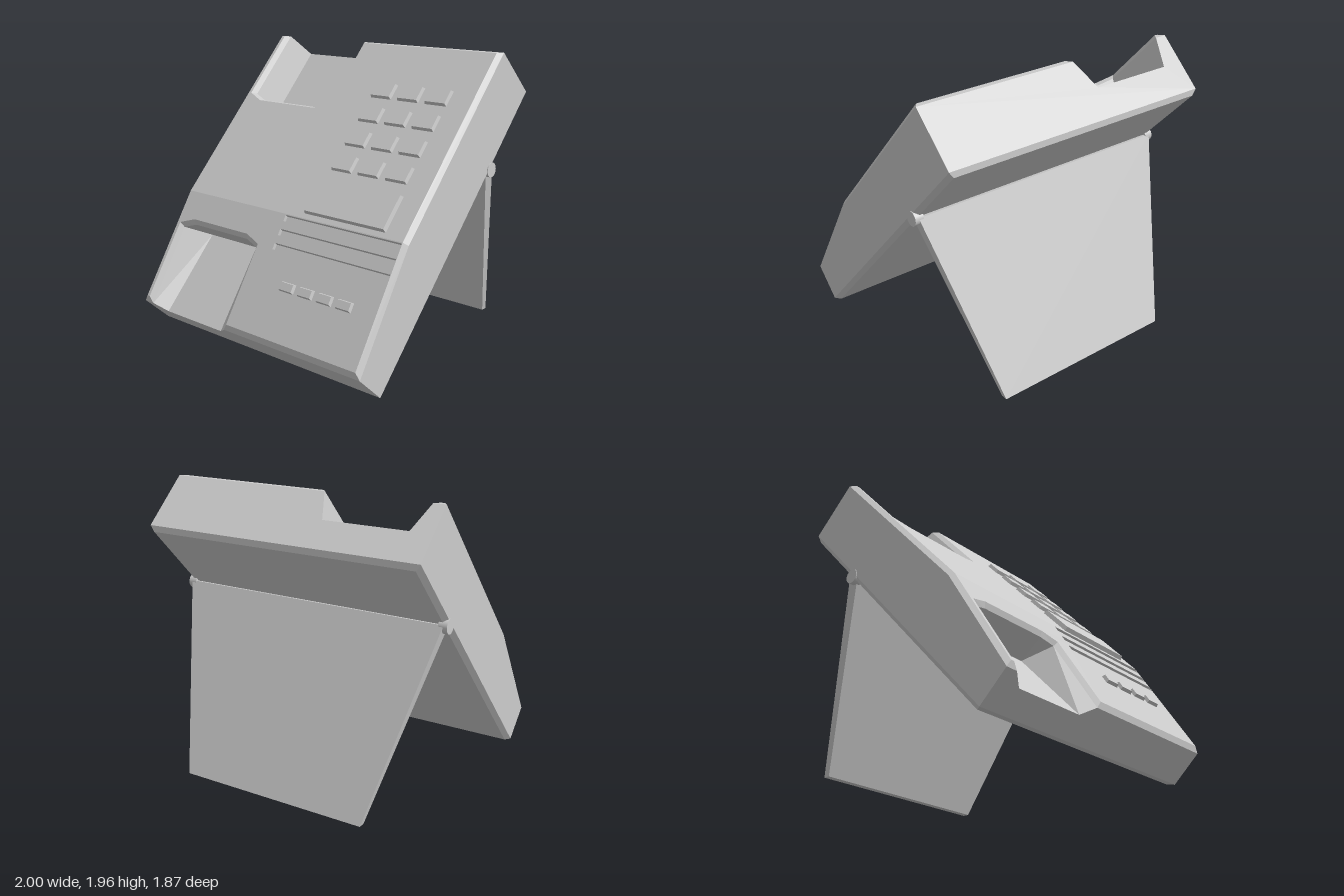
import * as THREE from 'three';

const grey = () => new THREE.MeshStandardMaterial({ color: 0xcccccc, flatShading: true });

// Body frame: x across, u up along the back, n out of the back towards the deck
const W = 0.995, TOP = 2.29, BEND = 0.83, B = 0.03;
const TILT = -0.748;
const deck = (u) => Math.min(0.45, 0.294 + 0.1875 * u);
const V = (x, u, n) => new THREE.Vector3(x, u, n);
const CENTRE = V(0, 1.15, 0.18);

// Collects flat triangles, each turned to face a given direction
class Skin {
  constructor() { this.pos = []; }
  tri(a, b, c, dir) {
    const nrm = b.clone().sub(a).cross(c.clone().sub(a));
    if (nrm.length() < 1e-8) return;
    const d = dir || a.clone().add(b).add(c).divideScalar(3).sub(CENTRE);
    for (const p of nrm.dot(d) > 0 ? [a, b, c] : [a, c, b]) this.pos.push(p.x, p.y, p.z);
  }
  quad(a, b, c, d, dir) {
    this.tri(a, b, c, dir);
    this.tri(a, c, d, dir);
  }
  polygon(pts, map, dir, holes = []) {
    const v2 = (l) => l.map(([x, y]) => new THREE.Vector2(x, y));
    const all = [...pts, ...holes.flat()].map(([x, y]) => map(x, y));
    for (const [a, b, c] of THREE.ShapeUtils.triangulateShape(v2(pts), holes.map(v2))) {
      this.tri(all[a], all[b], all[c], dir);
    }
  }
  // Walls between successive rings, facing a point inside the hollow
  walls(rings, inside, closed) {
    for (let r = 0; r + 1 < rings.length; r++) {
      const p = rings[r], q = rings[r + 1], n = p.length;
      for (let i = 0; i < (closed ? n : n - 1); i++) {
        const j = (i + 1) % n;
        const mid = p[i].clone().add(p[j]).add(q[i]).add(q[j]).divideScalar(4);
        this.quad(p[i], p[j], q[j], q[i], inside.clone().sub(mid));
      }
    }
  }
  geometry() {
    const g = new THREE.BufferGeometry();
    g.setAttribute('position', new THREE.Float32BufferAttribute(this.pos, 3));
    g.computeVertexNormals();
    return g;
  }
}

// Rim, chamfer and floor outlines of the two handset wells, left to right
const lowerWell = {
  rim: [[-0.94, B], [-0.94, 0.59], [-0.81, 0.636], [-0.27, 0.636], [-0.14, 0.59], [-0.14, B]],
  lip: [[-0.91, 0], [-0.91, 0.575], [-0.8, 0.612], [-0.28, 0.612], [-0.17, 0.575], [-0.17, 0]],
  floor: [[-0.82, 0], [-0.82, 0.638], [-0.82, 0.638], [-0.27, 0.638], [-0.27, 0.638], [-0.27, 0]],
  depth: 0.18, inside: V(-0.55, 0.25, 0.5),
};
const upperWell = {
  rim: [[-0.94, TOP - B], [-0.94, 1.72], [-0.81, 1.665], [-0.27, 1.665], [-0.14, 1.72], [-0.14, TOP - B]],
  lip: [[-0.91, TOP], [-0.91, 1.735], [-0.8, 1.69], [-0.28, 1.69], [-0.17, 1.735], [-0.17, TOP]],
  floor: [[-0.84, TOP], [-0.84, 1.73], [-0.84, 1.73], [-0.25, 1.73], [-0.25, 1.73], [-0.25, TOP]],
  depth: 0.21, inside: V(-0.55, 2.0, 0.6),
};

function bodyGeometry() {
  const s = new Skin(), out = V(0, 0, 1);
  const onDeck = (x, u) => V(x, u, deck(u));
  const edge = (x, u) => V(x, u, deck(u) - B);
  const X = W - B;

  // Speaker grooves
  const grooves = [0.583, 0.681, 0.779].map((u) => [[0, u], [X - 0.004, u], [X - 0.004, u + 0.044], [0, u + 0.044]]);
  for (const g of grooves) {
    const low = g.map(([x, u]) => V(x, u, deck(u) - 0.025));
    s.walls([g.map(([x, u]) => onDeck(x, u)), low], V(0.48, g[0][1] + 0.022, 0.6), true);
    s.quad(...low, out);
  }

  // Deck, split at the bend
  s.polygon([[-X, B], ...lowerWell.rim, [X, B], [X, BEND], [-X, BEND]], onDeck, out, grooves);
  s.polygon([[-X, TOP - B], ...upperWell.rim, [X, TOP - B], [X, BEND], [-X, BEND]], onDeck, out);

  // Wells with their end faces and end chamfers
  for (const [well, u, uIn] of [[lowerWell, 0, B], [upperWell, TOP, TOP - B]]) {
    const floor = well.floor.map(([x, v]) => V(x, v, well.depth));
    s.walls([well.rim.map(([x, v]) => onDeck(x, v)), well.lip.map(([x, v]) => edge(x, v)), floor], well.inside, false);
    s.quad(floor[0], floor[1], floor[3], floor[5], out);
    const h = deck(u) - B;
    s.polygon([[-W, 0], [W, 0], [W, h], [-0.17, h], [floor[5].x, well.depth], [floor[0].x, well.depth], [-0.91, h], [-W, h]],
      (x, n) => V(x, u, n), V(0, u ? 1 : -1, 0));
    s.quad(onDeck(-X, uIn), onDeck(-0.94, uIn), edge(-0.91, u), edge(-W, u));
    s.quad(onDeck(-0.14, uIn), onDeck(X, uIn), edge(W, u), edge(-0.17, u));
  }

  // Sides and their front chamfers
  for (const k of [-1, 1]) {
    s.polygon([[0, 0], [TOP, 0], [TOP, deck(TOP) - B], [BEND, deck(BEND) - B], [0, deck(0) - B]],
      (u, n) => V(k * W, u, n), V(k, 0, 0));
    s.quad(onDeck(k * X, B), onDeck(k * X, BEND), edge(k * W, BEND), edge(k * W, 0));
    s.quad(onDeck(k * X, BEND), onDeck(k * X, TOP - B), edge(k * W, TOP), edge(k * W, BEND));
  }

  // Back panel with chamfered border
  const ring = (d, n) => [V(-W + d, d, n), V(W - d, d, n), V(W - d, TOP - d, n), V(-W + d, TOP - d, n)];
  const outer = ring(0, 0), inner = ring(B, -B);
  for (let i = 0; i < 4; i++) {
    const j = (i + 1) % 4;
    s.quad(outer[i], outer[j], inner[j], inner[i]);
  }
  s.quad(...inner);
  return s.geometry();
}

// Raised block with sloping sides, seated on the deck
function raised(name, x, u, w, h, t, slope) {
  const g = new THREE.BoxGeometry(w, h, t + 0.02);
  const p = g.attributes.position;
  for (let i = 0; i < p.count; i++) {
    if (p.getZ(i) > 0) p.setXY(i, p.getX(i) - Math.sign(p.getX(i)) * 0.012, p.getY(i) - Math.sign(p.getY(i)) * 0.012);
  }
  g.computeVertexNormals();
  const m = new THREE.Mesh(g, grey());
  m.name = name;
  m.position.set(x, u, deck(u) + t / 2 - 0.01);
  m.rotation.x = slope;
  return m;
}

// Tapered prop leg: four (z, y) corners, wide at the hinge and narrow at the foot
function standGeometry() {
  const g = new THREE.BoxGeometry(2, 1, 1);
  const p = g.attributes.position;
  for (let i = 0; i < p.count; i++) {
    const side = Math.sign(p.getX(i)), top = p.getY(i) > 0, front = p.getZ(i) > 0;
    const [z, y] = top ? (front ? [-0.377, 1.205] : [-0.455, 1.22]) : (front ? [-0.885, 0] : [-0.93, 0]);
    p.setXYZ(i, side * (top ? 0.975 : 0.68), y, z);
  }
  g.computeVertexNormals();
  return g;
}

export function createModel() {
  const model = new THREE.Group();
  model.name = 'deskPhoneBase';

  const base = new THREE.Group();
  base.name = 'tiltedBase';
  base.rotation.x = TILT;
  base.position.z = 0.74;
  model.add(base);

  const body = new THREE.Mesh(bodyGeometry(), grey());
  body.name = 'body';
  base.add(body);

  // Number keys
  for (const u of [1.87, 1.67, 1.47, 1.27]) {
    for (const x of [0.26, 0.485, 0.71]) base.add(raised('numberKey', x, u, 0.18, 0.13, 0.025, 0));
  }
  base.add(raised('display', 0.483, 0.995, 0.68, 0.27, 0.03, 0));

  // Small keys on the sloped lower deck
  for (let i = 0; i < 4; i++) {
    base.add(raised('smallKey', 0.248 + i * 0.159, 0.374, 0.13, 0.075, 0.022, Math.atan(0.1875)));
  }

  // Rear stand and hinge pins
  const stand = new THREE.Mesh(standGeometry(), grey());
  stand.name = 'stand';
  model.add(stand);
  for (const k of [-1, 1]) {
    const pin = new THREE.Mesh(new THREE.CylinderGeometry(0.05, 0.05, 0.06, 20), grey());
    pin.material.flatShading = false;
    pin.name = k > 0 ? 'leftHingePin' : 'rightHingePin';
    pin.rotation.z = Math.PI / 2;
    pin.position.set(k * 0.97, 1.205, -0.41);
    model.add(pin);
  }
  return model;
}
